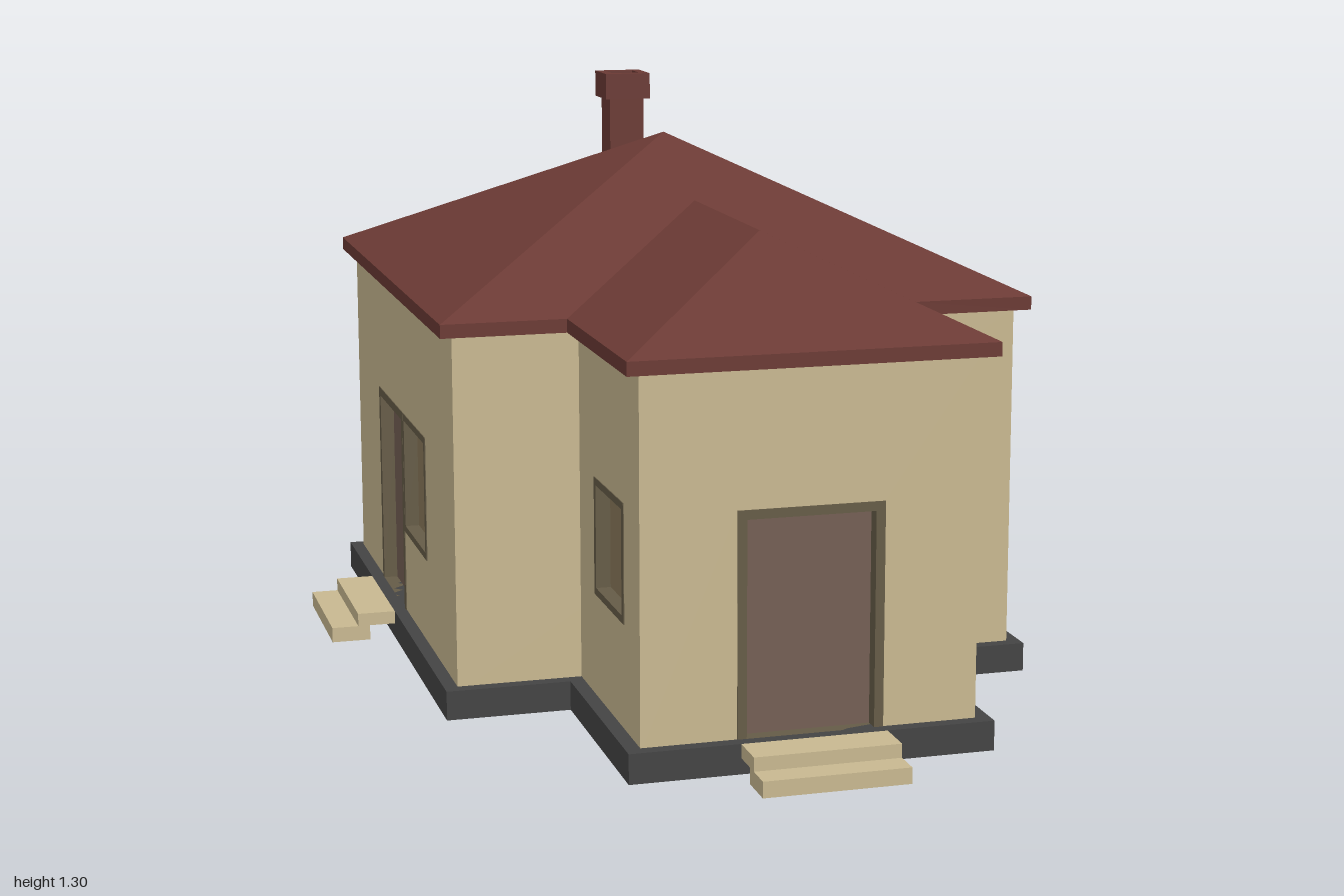
import * as THREE from 'three';

const mat = (color, side = THREE.FrontSide) =>
  new THREE.MeshStandardMaterial({ color, side, flatShading: true, roughness: 0.9 });
const M = {
  wall: mat(0xc9b991, THREE.DoubleSide),
  roof: mat(0x6b3a34),
  plinth: mat(0x444444),
  frame: mat(0x665c47),
  door: mat(0x745f54),
  pane: mat(0x8a795a),
  step: mat(0xc9b991),
};
const FLOOR = 0.065, EAVE = 0.84, ROOF = 0.87, RECESS = 0.03;

function add(parent, name, geometry, material) {
  const mesh = new THREE.Mesh(geometry, material);
  mesh.name = name;
  parent.add(mesh);
  return mesh;
}

function box(parent, name, material, [x0, x1], [y0, y1], [z0, z1]) {
  const mesh = add(parent, name, new THREE.BoxGeometry(x1 - x0, y1 - y0, z1 - z0), material);
  mesh.position.set((x0 + x1) / 2, (y0 + y1) / 2, (z0 + z1) / 2);
  return mesh;
}

const rectPoints = (x0, x1, y0, y1) =>
  [[x0, y0], [x1, y0], [x1, y1], [x0, y1]].map(([x, y]) => new THREE.Vector2(x, y));

function rectShape(outer, holes) {
  const shape = new THREE.Shape(rectPoints(...outer));
  holes.forEach(h => shape.holes.push(new THREE.Path(rectPoints(...h).reverse())));
  return shape;
}

// T-shaped footprint slab: main block plus front wing
function footprint(parent, name, material, y0, y1) {
  const pts = [[-0.67, 1], [-0.67, -0.34], [-0.395, -0.34], [-0.395, -0.85],
    [0.395, -0.85], [0.395, -0.34], [0.67, -0.34], [0.67, 1]];
  const shape = new THREE.Shape(pts.map(([x, y]) => new THREE.Vector2(x, y)));
  const geo = new THREE.ExtrudeGeometry(shape, { depth: y1 - y0, bevelEnabled: false });
  geo.rotateX(-Math.PI / 2).translate(0, y0, 0);
  add(parent, name, geo, material);
}

// Convex roof faces, corners counter-clockwise from outside
function roofFaces(parent, name, faces) {
  const pos = [];
  for (const f of faces)
    for (let i = 1; i < f.length - 1; i++) pos.push(...f[0], ...f[i], ...f[i + 1]);
  const geo = new THREE.BufferGeometry();
  geo.setAttribute('position', new THREE.Float32BufferAttribute(pos, 3));
  geo.computeVertexNormals();
  add(parent, name, geo, M.roof);
}

// Frame with recessed panels; rect is [u0, u1, y0, y1] on the wall
function opening(wall, { name, rect, panels, material }) {
  const g = new THREE.Group();
  g.name = name;
  const geo = new THREE.ExtrudeGeometry(rectShape(rect, panels), { depth: 0.042, bevelEnabled: false });
  add(g, name + 'Frame', geo.translate(0, 0, -0.04), M.frame);
  panels.forEach(([a, b, c, d]) =>
    box(g, name + 'Panel', material, [a, b], [c, d], [-RECESS - 0.01, -RECESS]));
  wall.add(g);
}

function door(name, u0, u1, leaves = 1) {
  const border = leaves > 1 ? 0.028 : 0.02, mullion = 0.06, top = 0.547;
  const w = (u1 - u0 - 2 * border - (leaves - 1) * mullion) / leaves;
  const panels = [];
  for (let i = 0; i < leaves; i++) {
    const a = u0 + border + i * (w + mullion);
    panels.push([a, a + w, FLOOR, top - border]);
  }
  return { name, rect: [u0, u1, FLOOR - 0.008, top], panels, material: M.door };
}

function windowUnit(name, u0, u1, y0 = 0.29, y1 = 0.547) {
  const b = 0.016;
  return { name, rect: [u0, u1, y0, y1], panels: [[u0 + b, u1 - b, y0 + b, y1 - b]], material: M.pane };
}

// Wall plane facing outward at the given turn and distance from the axis
function wall(parent, name, turn, distance, u0, u1, openings = []) {
  const g = new THREE.Group();
  g.name = name;
  add(g, name + 'Surface', new THREE.ShapeGeometry(
    rectShape([u0, u1, 0.05, EAVE], openings.map(o => o.rect))), M.wall);
  openings.forEach(o => opening(g, o));
  g.children.forEach(c => { c.position.z += distance; });
  g.rotation.y = turn;
  parent.add(g);
}

// Two overlapping treads leading away from the plinth
function steps(parent, name, turn, distance, u0, u1) {
  const g = new THREE.Group();
  g.name = name;
  box(g, 'upperStep', M.step, [u0, u1], [0.035, FLOOR], [distance, distance + 0.088]);
  box(g, 'lowerStep', M.step, [u0, u1], [0, 0.035], [distance + 0.06, distance + 0.15]);
  g.rotation.y = turn;
  parent.add(g);
}

export function createModel() {
  const house = new THREE.Group();
  house.name = 'house';
  const Q = Math.PI / 2;

  footprint(house, 'plinth', M.plinth, 0, FLOOR);

  // Walls with their doors and windows
  wall(house, 'wingFrontWall', 0, 0.82, -0.363, 0.363, [door('frontDoor', -0.158, 0.158)]);
  wall(house, 'mainFrontWall', 0, 0.31, -0.64, 0.64);
  wall(house, 'wingLeftWall', Q, 0.363, -0.82, -0.31, [windowUnit('wingLeftWindow', -0.695, -0.445)]);
  wall(house, 'wingRightWall', -Q, 0.363, 0.31, 0.82, [windowUnit('wingRightWindow', 0.445, 0.695)]);
  wall(house, 'mainLeftWall', Q, 0.64, -0.31, 0.97, [door('doubleDoor', 0.135, 0.52, 2)]);
  wall(house, 'mainRightWall', -Q, 0.64, -0.97, 0.31, [
    door('sideDoor', -0.65, -0.32),
    windowUnit('sideWindow', -0.318, -0.03, 0.26),
  ]);
  wall(house, 'backWall', Math.PI, 0.97, -0.64, 0.64, [windowUnit('backWindow', -0.125, 0.125)]);

  // Steps
  steps(house, 'frontSteps', 0, 0.85, -0.158, 0.158);
  steps(house, 'leftSteps', Q, 0.67, 0.135, 0.525);
  steps(house, 'rightSteps', -Q, 0.67, -0.65, -0.318);

  // Eaves and hipped roofs
  footprint(house, 'eaves', M.roof, EAVE, ROOF);
  const apex = [0, 1.19, -0.33];
  const c = [[-0.67, 0.34], [0.67, 0.34], [0.67, -1], [-0.67, -1]].map(([x, z]) => [x, ROOF, z]);
  roofFaces(house, 'mainRoof', c.map((p, i) => [p, c[(i + 1) % 4], apex]));
  const front = [0, 1.06, 0.45], back = [0, 1.06, -0.057];
  const [fl, fr, br, bl] = [[-0.395, 0.85], [0.395, 0.85], [0.395, 0.34], [-0.395, 0.34]]
    .map(([x, z]) => [x, ROOF, z]);
  roofFaces(house, 'wingRoof', [[fl, fr, front], [fr, br, back, front], [bl, fl, front, back]]);

  // Chimney with hollow cap
  const chimney = new THREE.Group();
  chimney.name = 'chimney';
  const ring = (name, r, y0, y1) => {
    const geo = new THREE.ExtrudeGeometry(rectShape([-r, r, -r, r], [[-0.034, 0.034, -0.034, 0.034]]),
      { depth: y1 - y0, bevelEnabled: false });
    add(chimney, name, geo.rotateX(-Q).translate(0, y0, 0), M.roof);
  };
  ring('chimneyStack', 0.043, 0.92, 1.24);
  ring('chimneyCap', 0.056, 1.237, 1.3);
  box(chimney, 'flueFloor', M.roof, [-0.036, 0.036], [1.18, 1.2], [-0.036, 0.036]);
  chimney.position.z = -0.722;
  house.add(chimney);

  return house;
}
